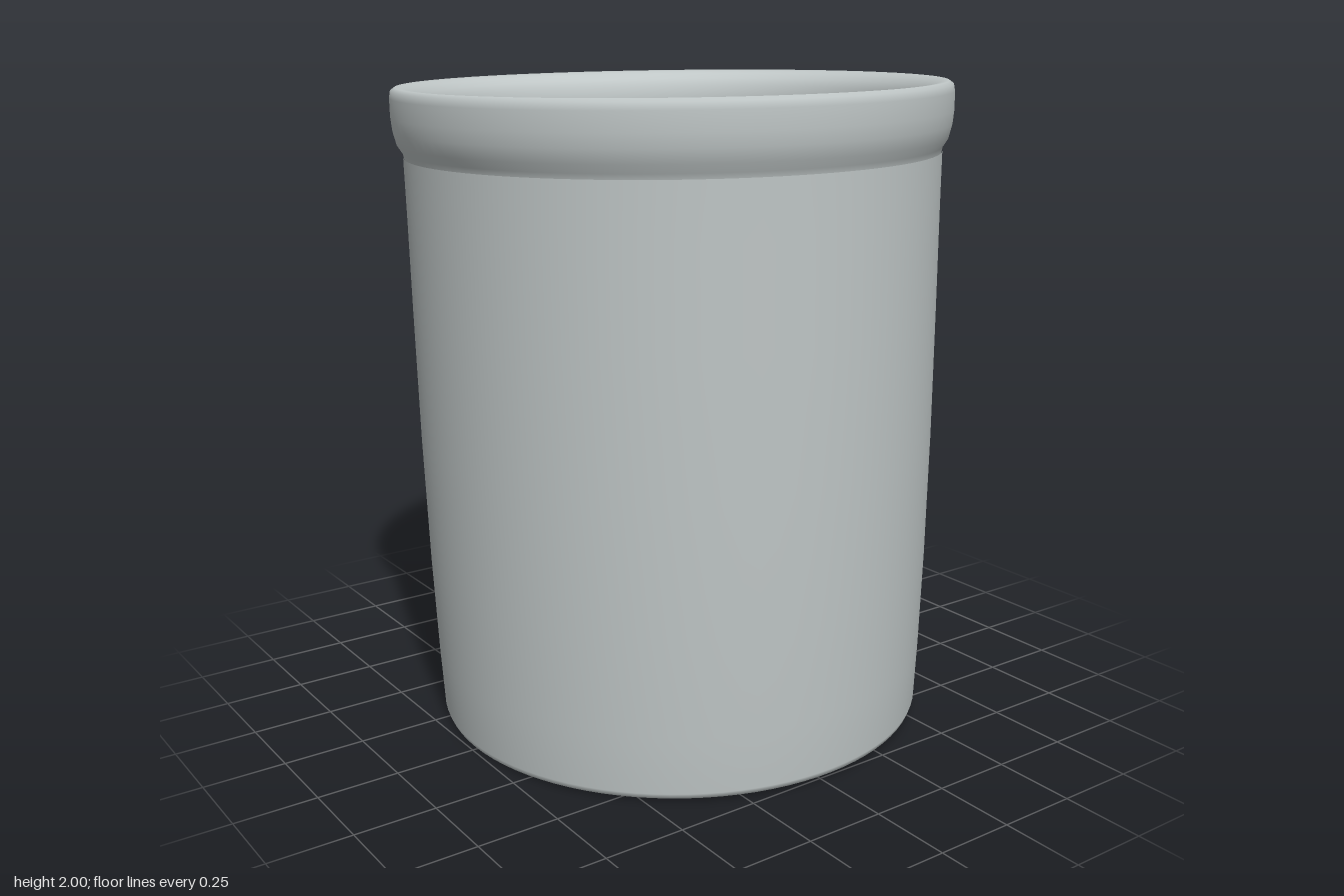
import * as THREE from 'three';

const clay = new THREE.MeshStandardMaterial({ color: 0xc0c7c7 });
clay.name = 'grey clay';

// Smooth lathe from a list of [radius, height] points
function lathe(name, points) {
  const profile = points.map(([r, y]) => new THREE.Vector2(r, y));
  const mesh = new THREE.Mesh(new THREE.LatheGeometry(profile, 96), clay);
  mesh.name = name;
  return mesh;
}

export function createModel() {
  const crock = new THREE.Group();
  crock.name = 'crock';

  // Flat underside
  crock.add(lathe('base', [[0, 0], [0.755, 0]]));

  // Slightly tapered outer wall with a softened foot
  crock.add(lathe('outerWall', [
    [0.755, 0], [0.768, 0.006], [0.774, 0.022], [0.783, 0.2], [0.794, 0.5],
    [0.803, 0.9], [0.807, 1.3], [0.809, 1.6], [0.811, 1.77],
  ]));

  // Thick rolled rim, sloping inward to the mouth
  crock.add(lathe('rim', [
    [0.808, 1.765], [0.812, 1.785], [0.828, 1.81], [0.838, 1.85], [0.842, 1.89],
    [0.842, 1.945], [0.838, 1.966], [0.825, 1.975], [0.805, 1.973],
    [0.782, 1.964], [0.76, 1.948], [0.744, 1.923], [0.736, 1.885], [0.737, 1.85],
  ]));

  // Inner wall, narrowing slightly toward the bottom
  crock.add(lathe('innerWall', [
    [0.737, 1.85], [0.738, 1.7], [0.735, 1.3], [0.728, 0.8],
    [0.715, 0.35], [0.706, 0.13], [0.7, 0.1],
  ]));

  // Inside floor with a small rounded corner
  crock.add(lathe('floor', [[0.7, 0.1], [0.685, 0.088], [0.65, 0.083], [0.5, 0.08], [0, 0.08]]));

  // The whole pot leans a little
  crock.rotation.z = 0.0155;
  crock.position.set(0.0295, 0.012, -0.003);

  const model = new THREE.Group();
  model.name = 'stonewareCrock';
  model.add(crock);
  return model;
}
